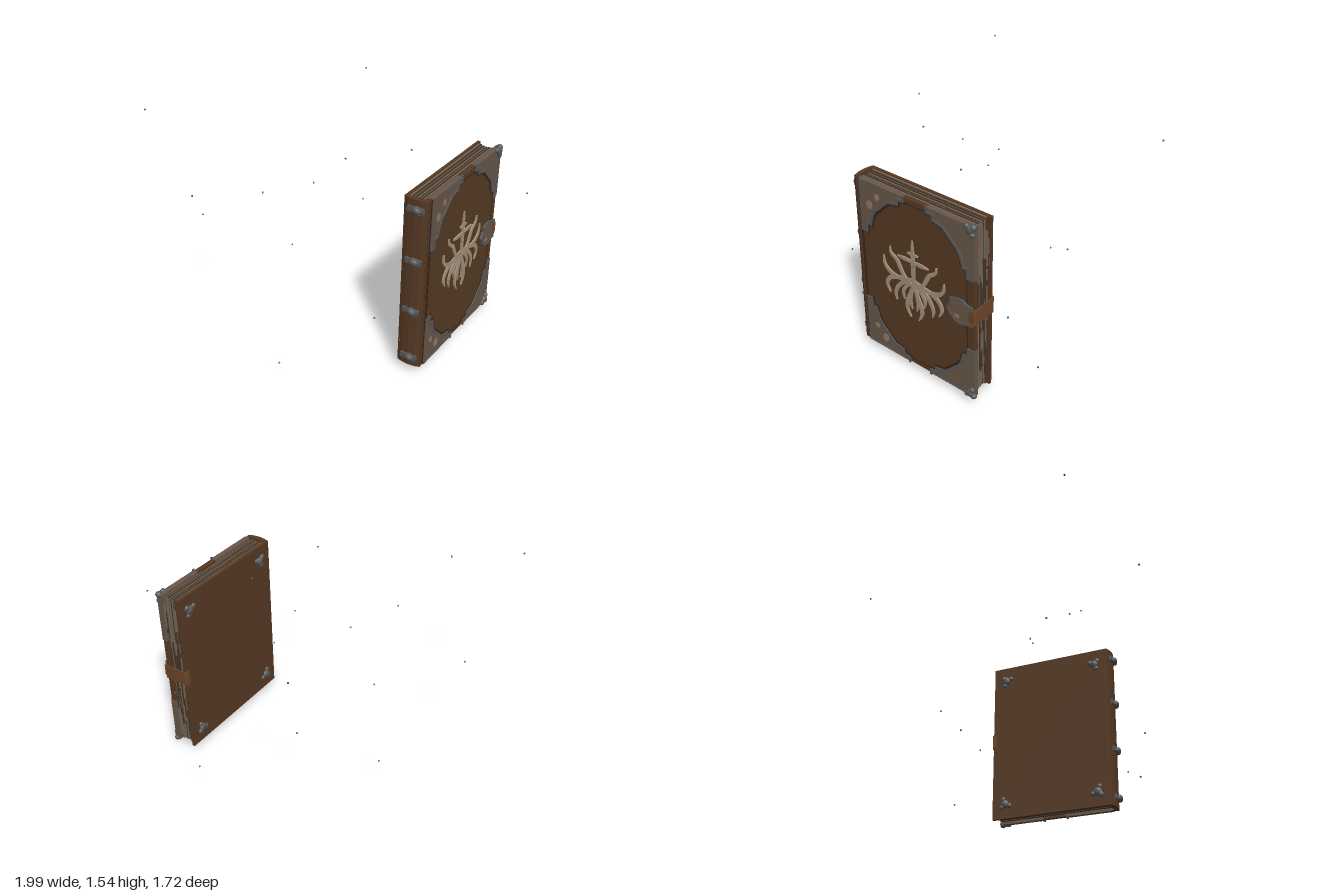
import * as THREE from 'three';

const mat = (name, color, side = THREE.FrontSide) => {
  const m = new THREE.MeshStandardMaterial({ color, side });
  m.name = name;
  return m;
};

export function createModel() {
  const M = {
    leather: mat('leather', 0x573a24),
    dark: mat('dark leather', 0x38251a),
    strap: mat('strap leather', 0x6e4628),
    plate: mat('tarnished plate', 0x6a5849),
    patch: mat('worn patch', 0x917c66),
    metal: mat('grey metal', 0x595a5b),
    bone: mat('pale inlay', 0xa3927c),
    page: mat('old paper', 0x78695a),
    pageDark: mat('dark paper', 0x463627),
  };
  const root = new THREE.Group();
  root.name = 'oldBook';

  // The book stands turned; local x runs along its width, local z out of its front
  const book = new THREE.Group();
  book.name = 'book';
  book.position.set(0.483, 0, 0.603);
  book.rotation.y = 0.392;
  root.add(book);

  const W = 0.465, T = 0.0825, Y0 = 0.065, Y1 = 1.275, MID = 0.67, H = Y1 - Y0;
  let seed = 7;
  const rnd = () => (seed = (seed * 16807) % 2147483647) / 2147483647;

  const add = (name, geo, material, x = 0, y = 0, z = 0, parent = book) => {
    const m = new THREE.Mesh(geo, material);
    m.name = name;
    m.position.set(x, y, z);
    parent.add(m);
    return m;
  };
  const box = (name, material, x0, x1, y0, y1, z0, z1) =>
    add(name, new THREE.BoxGeometry(x1 - x0, y1 - y0, z1 - z0), material,
      (x0 + x1) / 2, (y0 + y1) / 2, (z0 + z1) / 2);
  const shapeOf = pts => new THREE.Shape(pts.map(p => new THREE.Vector2(p[0], p[1])));
  // Flat outline in x,y pushed out along z
  const slab = (name, material, pts, z, depth) =>
    add(name, new THREE.ExtrudeGeometry(shapeOf(pts), { depth, bevelEnabled: false }), material, 0, 0, z);
  // Outline in x,z pushed up along y
  const column = (name, material, pts, y, height) => {
    const g = new THREE.ExtrudeGeometry(shapeOf(pts.map(p => [p[0], -p[1]])), { depth: height, bevelEnabled: false });
    g.rotateX(-Math.PI / 2);
    return add(name, g, material, 0, y, 0);
  };
  // Row of raised bars following a line of points
  const rim = (name, material, pts, width, z, depth) => {
    for (let i = 0; i + 1 < pts.length; i++) {
      const [a, b] = [pts[i], pts[i + 1]];
      const dx = b[0] - a[0], dy = b[1] - a[1];
      const bar = add(name, new THREE.BoxGeometry(Math.hypot(dx, dy) + width * 0.8, width, depth), material,
        (a[0] + b[0]) / 2, (a[1] + b[1]) / 2, z);
      bar.rotation.z = Math.atan2(dy, dx);
    }
  };
  const knob = (name, x, y, z, r, flat) =>
    add(name, new THREE.SphereGeometry(r, 12, 8), M.metal, x, y, z).scale.z = flat;

  // Boards, hinge and rounded spine
  box('frontBoard', M.leather, -0.42, W, Y0, Y1, 0.052, T);
  box('hingeStrip', M.leather, -0.455, -0.42, Y0, Y1, 0.052, T - 0.004);
  box('hingeGroove', M.dark, -0.428, -0.42, Y0, Y1, 0.06, T + 0.001);
  box('hingeGroove', M.dark, -0.455, -0.449, Y0, Y1, 0.06, T - 0.001);
  box('backBoard', M.leather, -0.455, W, Y0, Y1, -T, -0.062);
  column('spine', M.leather, [[-0.445, T], [-0.462, 0.08], [-0.474, 0.045], [-0.48, 0],
    [-0.476, -0.045], [-0.465, -T], [-0.445, -T]], Y0, H);

  // Page block: uneven layers with ragged strips along the fore-edge, head and tail
  const layers = 11, step = 0.114 / layers;
  for (let i = 0; i < layers; i++) {
    const z = -0.062 + i * step, inset = 0.006 + rnd() * 0.014;
    box('pageLayer', i % 2 ? M.pageDark : M.page, -0.446, W - 0.012 - rnd() * 0.018,
      Y0 + inset, Y1 - inset, z, z + step);
  }
  for (let i = 0; i < 44; i++) {
    const z = -0.06 + rnd() * 0.105, y = Y0 + 0.015 + rnd() * 0.95, len = 0.06 + rnd() * 0.2;
    box('raggedPage', i % 3 ? M.pageDark : M.page, 0.4, W - 0.01 + rnd() * 0.004,
      y, Math.min(y + len, Y1 - 0.015), z, z + 0.005);
  }

  // Thin frame lines on the front cover
  rim('coverLine', M.dark, [[-0.413, 0.1], [0.413, 0.1], [0.413, 1.24], [-0.413, 1.24], [-0.413, 0.1]], 0.007, T, 0.004);

  // Stepped corner plates, rimmed in metal and wrapping the board edge
  const steps = [[0.36, 0], [0.36, 0.035], [0.315, 0.035], [0.315, 0.07], [0.24, 0.085], [0.205, 0.115],
    [0.165, 0.155], [0.13, 0.185], [0.105, 0.225], [0.085, 0.295], [0.05, 0.295], [0.05, 0.355], [0, 0.355]];
  for (const sx of [-1, 1]) for (const sy of [-1, 1]) {
    const cx = sx < 0 ? -0.422 : W + 0.003, cy = MID + sy * (H / 2 + 0.002), k = sx < 0 ? 1 : 0.975;
    const pts = steps.map(p => [cx - sx * p[0] * k, cy - sy * p[1]]);
    slab('cornerPlate', M.plate, [[cx, cy], ...pts], 0.05, 0.0355);
    rim('cornerPlateShadow', M.dark, pts.slice(1, -1).map(p => [p[0] - sx * 0.008, p[1] - sy * 0.008]), 0.016, T, 0.004);
    rim('cornerPlateRim', M.metal, pts.slice(0, -1).map(p => [p[0] + sx * 0.002, p[1] + sy * 0.002]), 0.015, 0.086, 0.01);
    rim('cornerPlateEdge', M.metal, [[pts[0][0], cy - sy * 0.005], [cx - sx * 0.005, cy - sy * 0.005],
      [cx - sx * 0.005, pts[12][1]], pts[11]], 0.007, 0.086, 0.005);
  }

  // Worn patches on the left plates
  for (const [x, y, r] of [[-0.342, 1.12, 0.025], [-0.275, 1.192, 0.02], [-0.342, 0.215, 0.019], [-0.27, 0.147, 0.028]]) {
    const p = add('wornPatch', new THREE.CylinderGeometry(r, r, 0.004, 9), M.patch, x, y, 0.086);
    p.rotation.x = Math.PI / 2;
    p.scale.z = 1.15;
  }

  // Knotted metal tips on the outer front corners
  for (const sy of [-1, 1]) {
    const y = MID + sy * 0.585;
    knob('cornerTip', 0.438, y, 0.085, 0.03, 0.7);
    knob('cornerTip', 0.412, y + sy * 0.015, 0.086, 0.02, 0.8);
    knob('cornerTip', 0.458, y + sy * 0.018, 0.08, 0.021, 1);
    knob('cornerTip', 0.452, y - sy * 0.03, 0.085, 0.02, 0.9);
  }

  // Trefoil studs near the back corners
  for (const sx of [-1, 1]) for (const sy of [-1, 1]) {
    const x = sx * 0.365, y = MID + sy * 0.495;
    knob('backStud', x, y, -T, 0.032, 0.6);
    knob('backStud', x + sx * 0.022, y + sy * 0.022, -T, 0.022, 0.7);
    knob('backStud', x - sx * 0.036, y + sy * 0.014, -T, 0.019, 0.7);
    knob('backStud', x + sx * 0.014, y - sy * 0.036, -T, 0.019, 0.7);
  }

  // Metal bands with a boss on the spine
  for (const y of [0.135, 0.49, 0.855, 1.21]) {
    box('spineBand', M.metal, -0.49, -0.465, y - 0.018, y + 0.018, -0.05, 0.06);
    const boss = knob('spineBoss', -0.486, y, 0.015, 0.027, 1.3);
    const ring = add('spineRing', new THREE.TorusGeometry(0.022, 0.006, 6, 14), M.metal, -0.494, y, 0.03);
    ring.rotation.y = Math.PI / 2;
  }

  // Strap bent round the fore-edge
  column('strap', M.strap, [[0.4, 0.093], [0.468, 0.093], [0.479, 0.084], [0.476, -0.08], [0.468, -0.093],
    [0.44, -0.093], [0.44, -0.084], [0.464, -0.084], [0.468, -0.076], [0.471, 0.08], [0.464, 0.085], [0.4, 0.085]], 0.618, 0.105);

  // Shield-shaped clasp plate
  const clasp = [[0.455, 0.735], [0.42, 0.735], [0.385, 0.757], [0.335, 0.752], [0.298, 0.742], [0.302, 0.712],
    [0.274, 0.672], [0.29, 0.632], [0.33, 0.596], [0.38, 0.588], [0.42, 0.604], [0.455, 0.608]];
  slab('claspPlate', M.plate, clasp, 0.08, 0.016);
  rim('claspRim', M.metal, [...clasp, clasp[0]], 0.013, 0.094, 0.01);
  box('claspBoss', M.strap, 0.435, 0.472, 0.63, 0.712, 0.09, 0.1);
  box('claspPatch', M.patch, 0.33, 0.36, 0.62, 0.645, 0.094, 0.098);

  // Inlaid emblem made of tapering strokes
  const stroke = (pts, w, side) => {
    const n = 16, L = [], R = [];
    const curve = new THREE.CatmullRomCurve3(pts.map(p => new THREE.Vector3(p[0] * side / 0.925, p[1], 0)));
    for (let i = 0; i <= n; i++) {
      const p = curve.getPoint(i / n), t = curve.getTangent(i / n);
      const h = w * (0.12 + 0.88 * Math.sin(Math.PI * (0.05 + 0.8 * i / n)));
      L.push([p.x - t.y * h, p.y + t.x * h]);
      R.unshift([p.x + t.y * h, p.y - t.x * h]);
    }
    slab('emblemStroke', M.bone, [...L, ...R], T - 0.002, 0.012);
  };
  const half = [
    [[[0.172, 0.892], [0.165, 0.85], [0.12, 0.815], [0.098, 0.77], [0.07, 0.72], [0.01, 0.68]], 0.014],
    [[[0.225, 0.805], [0.218, 0.745], [0.18, 0.705], [0.11, 0.69], [0.01, 0.72]], 0.014],
    [[[0.185, 0.548], [0.207, 0.6], [0.185, 0.655], [0.12, 0.69], [0.02, 0.71]], 0.015],
    [[[0.135, 0.515], [0.143, 0.56], [0.122, 0.62], [0.08, 0.67], [0.02, 0.7]], 0.014],
    [[[0.075, 0.55], [0.082, 0.6], [0.06, 0.65], [0.01, 0.69]], 0.012],
    [[[0.03, 0.435], [0.055, 0.49], [0.05, 0.55], [0.025, 0.62], [0.01, 0.67]], 0.015],
    [[[0.018, 0.5], [0.028, 0.56], [0.012, 0.64]], 0.01],
    [[[0.115, 0.853], [0.06, 0.853], [0, 0.853]], 0.012],
    [[[0.04, 0.906], [0.02, 0.906], [0, 0.906]], 0.009],
  ];
  for (const [pts, w] of half) for (const side of [-1, 1]) stroke(pts, w, side);
  stroke([[0, 1.005], [0, 0.9], [0, 0.78], [0, 0.64]], 0.014, 1);

  // Drifting specks of dust
  const specks = [[-0.993, 1.54, -0.71], [0.81, 1.42, -0.865], [-0.71, 0.745, -0.595], [0.005, 0.25, -0.635],
    [0.505, 0.59, -0.43], [-0.465, 1.04, -0.16], [-0.085, 1.01, -0.155], [-0.985, 1.205, -0.07],
    [0.975, 0.145, 0.07], [-0.62, 0.007, 0.27], [-0.125, 1.38, 0.295], [0.38, 1.31, 0.29],
    [0.99, 0.63, 0.305], [-0.235, 0.545, 0.795], [-0.05, 0.31, 0.81], [0.885, 1.1, 0.84]];
  const dust = new THREE.Group();
  dust.name = 'dustSpecks';
  root.add(dust);
  const grain = new THREE.IcosahedronGeometry(0.007, 0);
  for (const [x, y, z] of specks) add('speck', grain, M.metal, x, y, z, dust);

  return root;
}
